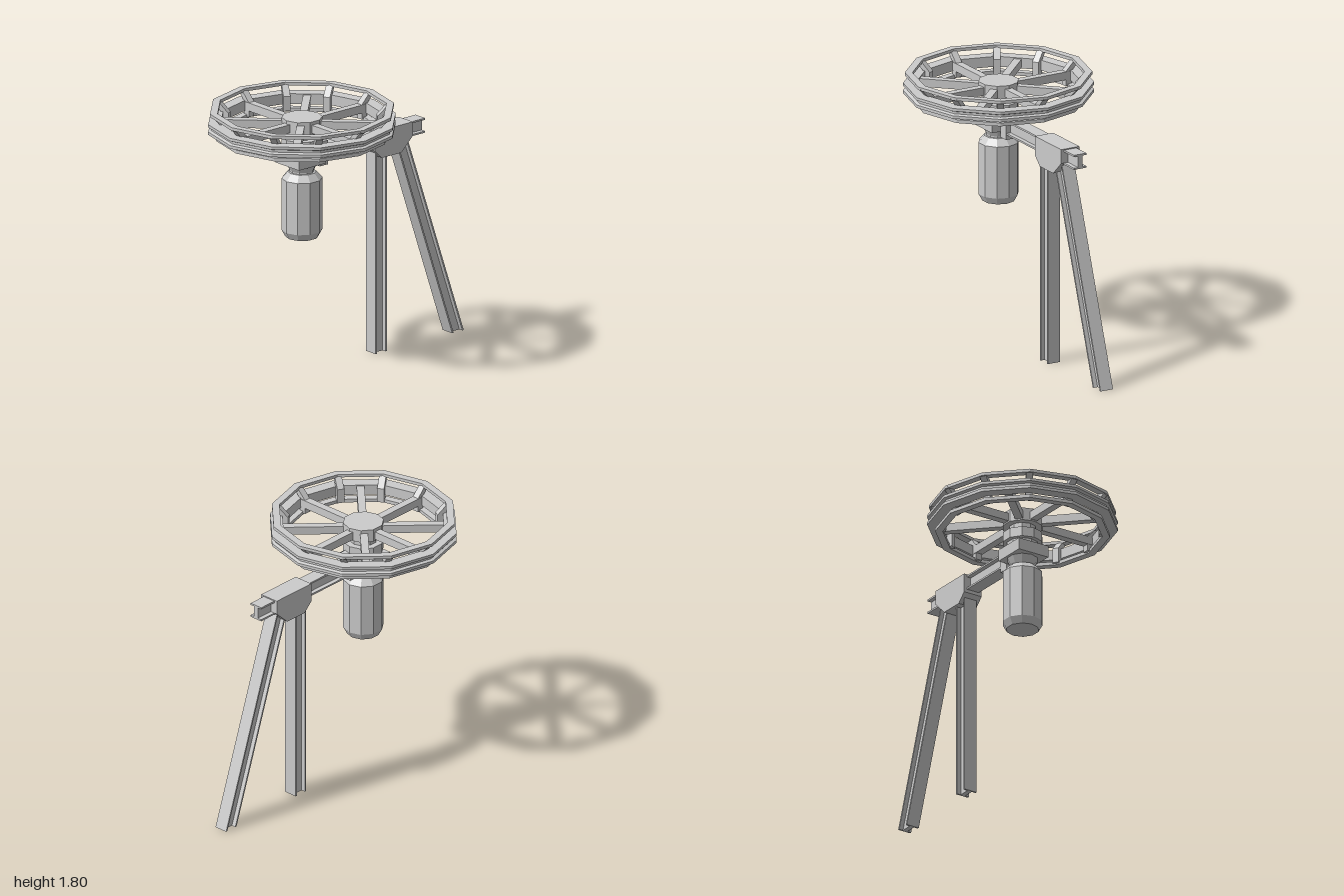
import * as THREE from 'three';

const material = new THREE.MeshStandardMaterial({ color: 0xcccccc, flatShading: true });
const WHEEL_Z = 0.37;

function add(parent, name, geometry) {
  const mesh = new THREE.Mesh(geometry, material);
  mesh.name = name;
  parent.add(mesh);
  return mesh;
}

function box(parent, name, w, h, d, x, y, z) {
  const mesh = add(parent, name, new THREE.BoxGeometry(w, h, d));
  mesh.position.set(x, y, z);
  return mesh;
}

// Revolve [radius, height] pairs around the vertical axis
function turned(parent, name, profile, sides) {
  const points = profile.map(([r, y]) => new THREE.Vector2(r, y));
  return add(parent, name, new THREE.LatheGeometry(points, sides));
}

// I-section beam running along +z, flanges at top and bottom
function beamGeometry(length, height = 0.1, width = 0.094, flange = 0.012, web = 0.034) {
  const w = width / 2, h = height / 2, t = web / 2, f = h - flange;
  const outline = [
    [-w, -h], [w, -h], [w, -f], [t, -f], [t, f], [w, f],
    [w, h], [-w, h], [-w, f], [-t, f], [-t, -f], [-w, -f],
  ];
  const shape = new THREE.Shape(outline.map(([x, y]) => new THREE.Vector2(x, y)));
  return new THREE.ExtrudeGeometry(shape, { depth: length, bevelEnabled: false });
}

// Upright I-section leg, sheared backwards by lean (z per unit of height)
function legGeometry(height, lean) {
  const geometry = beamGeometry(height).rotateX(-Math.PI / 2);
  const shear = new THREE.Matrix4().set(
    1, 0, 0, 0,
    0, 1, 0, 0,
    0, lean, 1, 0,
    0, 0, 0, 1);
  return geometry.applyMatrix4(shear);
}

function buildWheel() {
  const wheel = new THREE.Group();
  wheel.name = 'wheel';

  // Three twelve-sided rings, the middle one grooved on the outside
  const ring = (name, inner, outer, low, high) => turned(wheel, name,
    [[inner, low], [outer, low], [outer, high], [inner, high], [inner, low]], 12);
  ring('topRing', 0.56, 0.61, 1.777, 1.798);
  ring('bottomRing', 0.52, 0.57, 1.612, 1.635);
  turned(wheel, 'groovedRim', [
    [0.54, 1.657], [0.622, 1.657], [0.622, 1.677], [0.602, 1.685], [0.602, 1.7],
    [0.622, 1.708], [0.622, 1.727], [0.54, 1.727], [0.54, 1.657],
  ], 12);

  // Bent brackets tying the rings together
  const bracket = new THREE.Shape([
    [0.498, 1.62], [0.543, 1.62], [0.543, 1.72], [0.605, 1.785], [0.56, 1.785], [0.498, 1.72],
  ].map(([x, y]) => new THREE.Vector2(x, y)));
  const bracketGeometry = new THREE.ExtrudeGeometry(bracket, { depth: 0.046, bevelEnabled: false });
  bracketGeometry.translate(0, 0, -0.023);
  for (let i = 0; i < 12; i++) {
    add(wheel, 'bracket', bracketGeometry).rotation.y = (i * Math.PI) / 6;
  }

  // Eight spokes
  const spokeGeometry = new THREE.BoxGeometry(0.052, 0.055, 0.46).translate(0, 1.692, 0.32);
  for (let i = 0; i < 8; i++) {
    add(wheel, 'spoke', spokeGeometry).rotation.y = (i * Math.PI) / 4;
  }

  // Hub
  turned(wheel, 'hub', [[0, 1.655], [0.134, 1.655], [0.134, 1.742], [0, 1.742]], 10);
  wheel.position.z = WHEEL_Z;
  return wheel;
}

function buildMotor() {
  const motor = new THREE.Group();
  motor.name = 'motor';

  // Drum with chamfered ends, waisted neck, collar and shaft
  turned(motor, 'motorBody', [
    [0, 0.925], [0.108, 0.925], [0.134, 0.972], [0.134, 1.325], [0.094, 1.37], [0, 1.37],
  ], 10);
  turned(motor, 'neck', [
    [0.08, 1.36], [0.08, 1.38], [0.104, 1.43], [0.104, 1.54],
  ], 10);
  turned(motor, 'collar', [[0, 1.54], [0.134, 1.54], [0.134, 1.607], [0, 1.607]], 10);
  turned(motor, 'shaft', [[0.09, 1.6], [0.09, 1.66]], 10);
  box(motor, 'clamp', 0.232, 0.08, 0.236, 0, 1.468, 0.01);
  motor.position.z = WHEEL_Z;
  return motor;
}

function buildStand() {
  const stand = new THREE.Group();
  stand.name = 'stand';

  // Arm with its mounting plate
  add(stand, 'arm', beamGeometry(0.86)).position.set(0, 1.473, -0.655);
  box(stand, 'mountingPlate', 0.104, 0.165, 0.07, 0, 1.473, 0.225);

  // Legs
  add(stand, 'frontLeg', legGeometry(1.42, 0)).position.z = -0.276;
  add(stand, 'rearLeg', legGeometry(1.42, 0.344).rotateY(Math.PI)).position.z = -0.94;
  stand.getObjectByName('rearLeg').rotation.y = Math.PI;

  // Gusset joining arm and legs (drawn as z, y and extruded across x)
  const gusset = new THREE.Shape([
    [0.2, 1.34], [0.43, 1.34], [0.53, 1.435], [0.53, 1.53], [0.2, 1.53], [0.2, 1.4], [0.262, 1.34],
  ].slice(1).map(([x, y]) => new THREE.Vector2(x, y)));
  const geometry = new THREE.ExtrudeGeometry(gusset, { depth: 0.138, bevelEnabled: false });
  geometry.translate(0, 0, -0.069).rotateY(Math.PI / 2);
  add(stand, 'gusset', geometry);
  return stand;
}

export function createModel() {
  const model = new THREE.Group();
  model.name = 'wheelOnStand';
  model.add(buildWheel(), buildMotor(), buildStand());
  return model;
}
